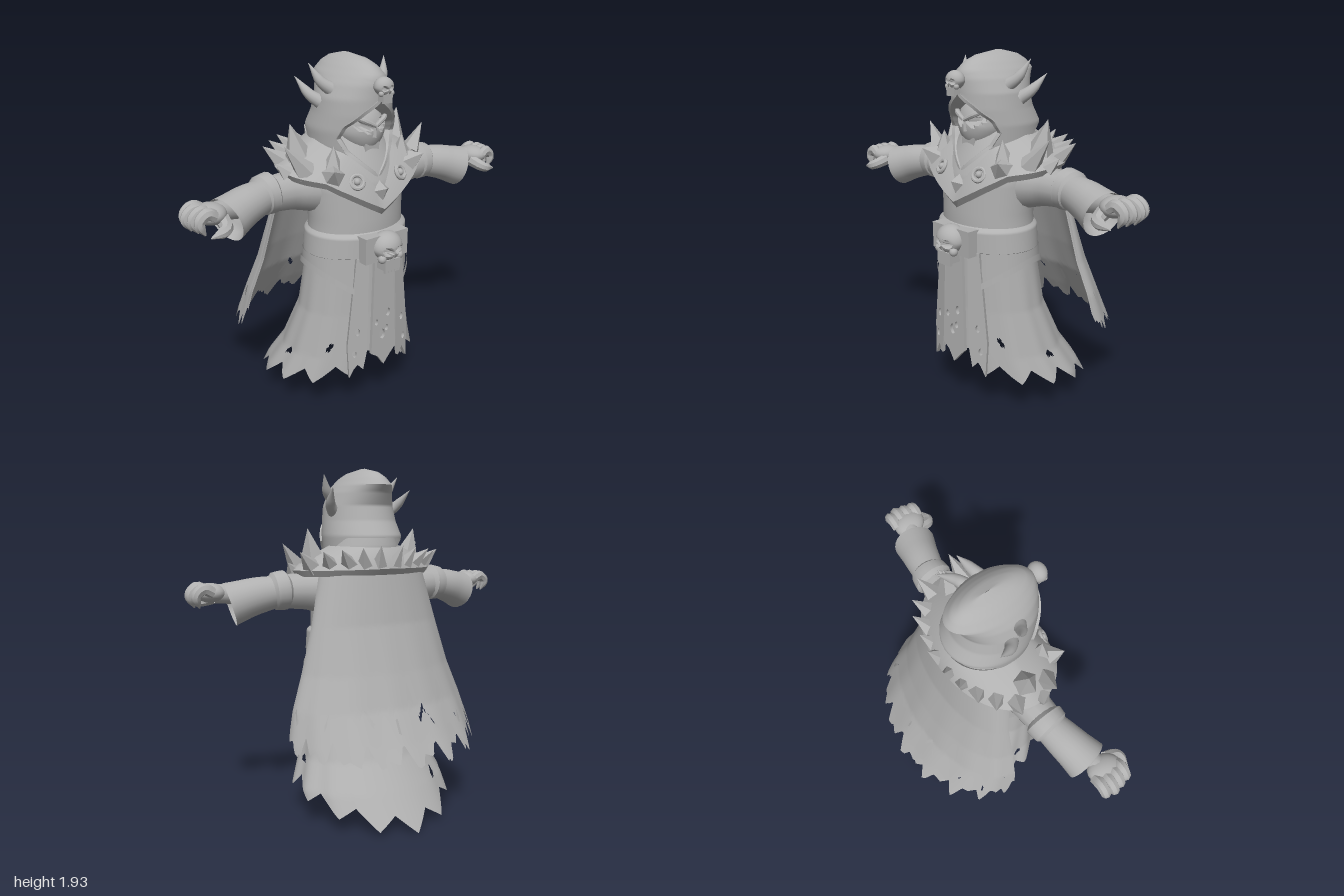
import * as THREE from 'three';
import { toCreasedNormals } from 'three/addons/utils/BufferGeometryUtils.js';

const V = (x, y, z) => new THREE.Vector3(x, y, z);
const { lerp, smoothstep } = THREE.MathUtils;
const stone = new THREE.MeshStandardMaterial({ color: 0xb0b0b0, side: THREE.DoubleSide });
stone.name = 'stone grey';

// Mesh with smooth normals that stay sharp on hard edges
function add(parent, name, geo, pos) {
  geo.scale(20, 20, 20);
  const g = toCreasedNormals(geo, 0.65);
  g.scale(0.05, 0.05, 0.05);
  const m = new THREE.Mesh(g, stone);
  m.name = name;
  if (pos) m.position.copy(pos);
  parent.add(m);
  return m;
}

// Surface from a function of (u, v); cells where hole(u, v) is true are left out
function grid(nu, nv, f, hole) {
  const pos = [], idx = [];
  for (let j = 0; j <= nv; j++) for (let i = 0; i <= nu; i++) pos.push(...f(i / nu, j / nv).toArray());
  for (let j = 0; j < nv; j++) for (let i = 0; i < nu; i++) {
    if (hole && hole((i + 0.5) / nu, (j + 0.5) / nv)) continue;
    const a = j * (nu + 1) + i, b = a + nu + 1;
    idx.push(a, a + 1, b, b, a + 1, b + 1);
  }
  const g = new THREE.BufferGeometry();
  g.setAttribute('position', new THREE.Float32BufferAttribute(pos, 3));
  g.setIndex(idx);
  return g;
}

// Interpolated row of a table sorted by its first column
function pick(table, k) {
  let i = 0;
  while (i < table.length - 2 && k > table[i + 1][0]) i++;
  const A = table[i], B = table[i + 1];
  const t = Math.min(1, Math.max(0, (k - A[0]) / (B[0] - A[0])));
  return A.slice(1).map((n, c) => lerp(n, B[c + 1], t));
}

// Point on an oval section [halfWidth, zFront, zBack]; angle 0 is the front
const oval = ([rx, zf, zb], a, y) =>
  V(rx * Math.sin(a), y, (zf + zb) / 2 + (zf - zb) / 2 * Math.cos(a));
const loft = (table, n = 48) => grid(n, 24, (u, v) => {
  const y = lerp(table[0][0], table[table.length - 1][0], v);
  return oval(pick(table, y), u * Math.PI * 2, y);
});
const zig = (t) => Math.abs(((t % 1) + 1) % 1 * 2 - 1);
const inHoles = (list) => (u, v) => list.some(([a, b, r, s]) => ((u - a) / r) ** 2 + ((v - b) / s) ** 2 < 1);

// Tapered tube through points
function limb(pts, radii, seg = 14, sides = 14) {
  const c = new THREE.CatmullRomCurve3(pts.map((p) => V(...p)));
  const fr = c.computeFrenetFrames(seg);
  const tab = radii.map((r, i) => [i / (radii.length - 1), r]);
  return grid(sides, seg, (u, v) => {
    const k = Math.round(v * seg), r = pick(tab, v)[0], a = u * Math.PI * 2;
    return c.getPointAt(v).addScaledVector(fr.normals[k], r * Math.cos(a)).addScaledVector(fr.binormals[k], r * Math.sin(a));
  });
}

// Pyramid spike from base to tip
function spike(parent, name, base, tip, r, sides = 4) {
  const d = tip.clone().sub(base), h = d.length();
  const g = new THREE.ConeGeometry(r, h, sides).translate(0, h / 2, 0).toNonIndexed();
  add(parent, name, g, base).quaternion.setFromUnitVectors(V(0, 1, 0), d.normalize());
}

// Ball with sunken eye sockets, scaled to (sx, sy, sz)
function headGeo(sx, sy, sz, ex, ey, er, slant) {
  const g = new THREE.SphereGeometry(1, 40, 30), p = g.attributes.position;
  for (let i = 0; i < p.count; i++) {
    const x = p.getX(i), y = p.getY(i), z = p.getZ(i);
    const dx = Math.abs(x) - ex, dy = y - ey - slant * dx;
    const eye = 1 - smoothstep(Math.hypot(dx, dy * (1 + 2 * slant)), er * 0.6, er);
    const jaw = y < -0.1 ? 1 + 0.25 * (y + 0.1) : 1;
    p.setXYZ(i, x * jaw * sx, y * sy, (z - (z > 0 ? 0.45 * eye : 0)) * sz);
  }
  return g;
}

function skull(parent, name, pos, s) {
  const g = new THREE.Group();
  g.name = name;
  g.position.copy(pos);
  g.scale.setScalar(s);
  parent.add(g);
  add(g, 'cranium', headGeo(1, 0.9, 0.85, 0.4, -0.12, 0.33, 0.1), V(0, 0.3, 0));
  add(g, 'upperJaw', new THREE.BoxGeometry(1.1, 0.65, 0.75), V(0, -0.65, 0.28));
  for (let i = -2; i <= 2; i++) add(g, 'tooth', new THREE.BoxGeometry(0.19, 0.3, 0.2), V(i * 0.22, -0.97, 0.55));
  for (const s2 of [-1, 1]) add(g, 'cheekbone', new THREE.SphereGeometry(0.26, 12, 8), V(s2 * 0.62, -0.25, 0.42));
  spike(g, 'nose', V(0, -0.3, 0.62), V(0, 0.05, 0.8), 0.13);
}

function buildHead(root) {
  const rows = [[1.34, 0.16, 0.36, -0.12], [1.48, 0.21, 0.345, -0.12], [1.57, 0.215, 0.36, -0.125], [1.65, 0.2, 0.37, -0.08],
    [1.73, 0.188, 0.37, -0.06], [1.8, 0.158, 0.37, -0.09], [1.84, 0.13, 0.36, -0.12], [1.88, 0.093, 0.32, -0.085],
    [1.91, 0.057, 0.25, -0.03], [1.932, 0.002, 0.12, 0.08]];
  const open = [[1.34, 0.005], [1.4, 0.075], [1.47, 0.145], [1.54, 0.178], [1.6, 0.16], [1.67, 0.09], [1.735, 0], [2, 0]];
  const edge = (y) => Math.asin(Math.min(1, pick(open, y)[0] / pick(rows, y)[0]));
  // Hood wraps from one side of the face opening round the back to the other
  add(root, 'hood', grid(72, 48, (u, v) => {
    const s = 1 - Math.abs(2 * u - 1), y = lerp(lerp(1.34, 1.56, smoothstep(s, 0, 0.6)), 1.932, v), a0 = edge(y);
    const p = oval(pick(rows, y), a0 + (Math.PI - a0) * s, y);
    return u > 0.5 ? p.setX(-p.x) : p;
  }));
  for (const s of [-1, 1]) {
    // Broad bevelled band around the face: raised lip, then a slope inwards
    const band = [[1, 0], [1.04, 0.014], [0.9, 0.014], [0.72, -0.03], [0.66, -0.1]];
    add(root, 'hoodRim', grid(30, 4, (u, v) => {
      const y = lerp(1.335, 1.74, u), p = oval(pick(rows, y), s * edge(y), y), [k, dz] = band[Math.round(v * 4)];
      return V(p.x * k, 1.54 + (y - 1.54) * lerp(1, k, 0.7), p.z + dz);
    }));
    add(root, 'upperHorn', limb([[s * 0.145, 1.765, 0.18], [s * 0.195, 1.805, 0.155], [s * 0.24, 1.895, 0.11]], [0.036, 0.024, 0.001]));
    add(root, 'lowerHorn', limb([[s * 0.175, 1.7, 0.12], [s * 0.215, 1.735, 0.085], [s * 0.25, 1.82, 0.0]], [0.036, 0.024, 0.001]));
    add(root, 'brow', limb([[s * 0.11, 1.65, 0.29], [s * 0.06, 1.625, 0.33], [0, 1.595, 0.345]], [0.01, 0.014, 0.01], 8, 8));
  }
  add(root, 'face', headGeo(0.135, 0.15, 0.13, 0.45, 0.2, 0.34, 0.4), V(0, 1.57, 0.21));
  spike(root, 'nose', V(0, 1.54, 0.33), V(0, 1.61, 0.345), 0.02);
  add(root, 'chin', new THREE.BoxGeometry(0.09, 0.06, 0.08), V(0, 1.475, 0.28));
  skull(root, 'foreheadSkull', V(0, 1.78, 0.395), 0.053);
}

function buildMantle(root) {
  const yIn = [[0, 1.33], [0.8, 1.45], [1.57, 1.5], [3.15, 1.49]];
  const yOut = [[0, 1.17], [0.45, 1.27], [0.8, 1.34], [1.57, 1.375], [3.15, 1.385]];
  const at = (a, t, lift = 0) => {
    const b = Math.abs(a);
    const p = oval([0.2, 0.33, -0.1], a, pick(yIn, b)[0]).lerp(oval([0.42, 0.42, -0.16], a, pick(yOut, b)[0]), t);
    return p.add(V(Math.sin(a) * 0.5, 0.85, Math.cos(a) * 0.6).multiplyScalar(lift));
  };
  // Closed plate: top face, rim, underside
  const prof = [[0, 0.02], [0.5, 0.03], [1, 0.015], [1, -0.025], [0, -0.02], [0, 0.02]];
  add(root, 'mantle', grid(64, 5, (u, v) => at((u * 2 - 1) * Math.PI, ...prof[Math.round(v * 5)])));
  const spikes = [[1.6, 0.5, 0.35, 1.61, 0.1, 0.075], [1.2, 0.75, 0.45, 1.53, 0.2, 0.06], [0.85, 0.45, 0.22, 1.515, 0.29, 0.055],
    [1.9, 0.8, 0.45, 1.49, 0, 0.055], [0.78, 0.7, 0.29, 1.42, 0.39, 0.07], [2.2, 0.7, 0.36, 1.49, -0.09, 0.05],
    [2.5, 0.65, 0.28, 1.5, -0.14, 0.05], [2.75, 0.65, 0.17, 1.51, -0.17, 0.045], [3.0, 0.65, 0.07, 1.52, -0.19, 0.045],
    [1.45, 0.95, 0.455, 1.43, 0.13, 0.045]];
  for (const s of [-1, 1]) {
    for (const [a, t, x, y, z, r] of spikes) spike(root, 'mantleSpike', at(s * a, t), V(s * x, y, z), r, 5);
    const c = at(s * 0.42, 0.6, 0.03), q = V(s * 0.3, 0.5, 0.85).normalize();
    for (const [n, g] of [['studRing', new THREE.TorusGeometry(0.034, 0.011, 8, 20)], ['stud', new THREE.SphereGeometry(0.018, 12, 8)]])
      add(root, n, g, c).quaternion.setFromUnitVectors(V(0, 0, 1), q);
  }
  spike(root, 'centreGem', at(0, 0.45, 0.015), at(0, 0.45).add(V(0, 0.035, 0.07)), 0.07);
}

function buildBody(root) {
  add(root, 'torso', loft([[0.9, 0.28, 0.4, -0.03], [1.1, 0.27, 0.4, -0.03], [1.3, 0.28, 0.39, -0.05],
    [1.38, 0.27, 0.36, -0.08], [1.5, 0.2, 0.31, -0.1], [1.58, 0.17, 0.27, -0.08]]));
  add(root, 'belt', loft([[0.92, 0.285, 0.4, -0.03], [0.93, 0.302, 0.425, -0.05], [1.04, 0.292, 0.425, -0.05], [1.06, 0.27, 0.4, -0.03]]));
  add(root, 'buckle', new THREE.BoxGeometry(0.28, 0.14, 0.07), V(0, 0.985, 0.42));
  skull(root, 'beltSkull', V(0, 0.96, 0.445), 0.09);

  // Robe skirt with a long torn train
  const rows = [[0, 0.47, 0.4, -0.45], [0.2, 0.455, 0.42, -0.31], [0.35, 0.39, 0.42, -0.2], [0.6, 0.325, 0.405, -0.08], [0.95, 0.28, 0.395, -0.03]];
  const hem = [[0, 0.35], [0.4, 0.25], [0.8, 0.21], [1.57, 0.18], [2.2, 0.1], [2.7, 0.035], [3.15, 0.005]];
  add(root, 'skirt', grid(196, 60, (u, v) => {
    const a = (u * 2 - 1) * Math.PI, h = pick(hem, Math.abs(a))[0] + 0.08 * (1 - zig(u * 14));
    const y = lerp(0.95, h, v), [rx, zf, zb] = pick(rows, y), k = 1 + 0.015 * v * Math.cos(a * 14);
    return oval([rx * k, zf, zb], a, y);
  }, inHoles([[0.25, 0.87, 0.009, 0.026], [0.75, 0.87, 0.009, 0.026], [0.1, 0.87, 0.009, 0.026], [0.37, 0.75, 0.007, 0.026], [0.62, 0.75, 0.007, 0.026]])));

  // Hip drapes, cut in an arch at the side
  for (const s of [-1, 1]) for (const trim of [0, 1])
    add(root, trim ? 'hipTrim' : 'hipDrape', grid(40, 3, (u, v) => {
      const y0 = 0.735 + 0.125 * Math.sin(Math.PI * u), y = trim ? y0 + 0.035 * v : lerp(y0, 0.93, v);
      const o = (trim ? 0.027 : 0.018) * (1 + 2.5 * (0.93 - y));
      return oval([0.285 + o, 0.4 + o, -0.035 - o], s * (0.55 + u * 2.3), y);
    }));

  // Torn hanging strips at the front
  const strip = (pts, holes) => {
    const sh = new THREE.Shape(pts.map((p) => new THREE.Vector2(...p)));
    for (const [x, y, r] of holes) sh.holes.push(new THREE.Path().absellipse(x, y, r, r * 1.5, 0, Math.PI * 2));
    return new THREE.ExtrudeGeometry(sh, { depth: 0.018, bevelEnabled: false, curveSegments: 6 });
  };
  add(root, 'centreStrip', strip([[-0.06, 0], [0.06, 0], [0.085, -0.56], [0.045, -0.6], [0, -0.65], [-0.04, -0.59], [-0.085, -0.56]],
    [[0.03, -0.34, 0.016], [-0.01, -0.46, 0.02], [0.02, -0.43, 0.013], [-0.05, -0.38, 0.012]]), V(0, 0.93, 0.415)).rotation.x = -0.03;
  for (const s of [-1, 1]) {
    const m = add(root, 'sideStrip', strip([[-0.035, 0], [0.035, 0], [0.075, -0.5], [0.06, -0.69], [0.02, -0.61], [-0.02, -0.65], [-0.04, -0.53]]
      .map(([x, y]) => [s * x, y]), [[s * 0.02, -0.42, 0.015], [s * 0.035, -0.55, 0.014]]), V(s * 0.115, 0.93, 0.39));
    m.rotation.set(-0.04, s * 0.3, s * 0.04);
  }
}

function buildCape(root) {
  const rows = [[0.36, 0.595, -0.09, -0.52], [0.5, 0.575, -0.07, -0.435], [0.67, 0.535, -0.05, -0.34], [0.85, 0.47, -0.03, -0.275],
    [1.1, 0.4, -0.02, -0.195], [1.42, 0.32, 0.02, -0.135]];
  const holes = inHoles([[0.2, 0.84, 0.012, 0.022], [0.36, 0.8, 0.015, 0.02], [0.55, 0.82, 0.018, 0.026], [0.58, 0.85, 0.014, 0.02],
    [0.72, 0.84, 0.012, 0.022], [0.05, 0.84, 0.012, 0.022], [0.93, 0.84, 0.012, 0.024], [0.45, 0.9, 0.006, 0.05], [0.83, 0.9, 0.008, 0.04]]);
  for (const inset of [0, 0.018]) add(root, inset ? 'capeLining' : 'cape', grid(160, 72, (u, v) => {
    const th = u * Math.PI, rag = zig(u * 9) * 0.09 + zig(u * 17 + 0.3) * 0.07;
    const y = lerp(1.42, 0.45 - 0.09 * Math.sin(th) + rag, v), [w, zf, zb] = pick(rows, y);
    const fold = 0.008 * v * Math.sin(u * 45), k = 1 - inset / w + fold;
    return V(w * k * Math.cos(th), y, zf + (zb - zf + inset) * (1 + fold) * Math.sin(th));
  }, holes));
}

// Arm built on the model's left, mirrored for the right
function buildArm(root, side) {
  const arm = new THREE.Group();
  arm.name = side > 0 ? 'leftArm' : 'rightArm';
  arm.scale.x = side;
  root.add(arm);
  add(arm, 'sleeve', limb([[0.18, 1.26, 0.13], [0.36, 1.275, 0.12], [0.56, 1.28, 0.13]], [0.135, 0.1, 0.085]));
  add(arm, 'armBand', limb([[0.46, 1.288, 0.12], [0.51, 1.285, 0.122], [0.57, 1.28, 0.13]], [0.075, 0.106, 0.104, 0.1, 0.07], 8, 20));
  add(arm, 'cuff', limb([[0.53, 1.28, 0.125], [0.65, 1.258, 0.15], [0.77, 1.222, 0.18]], [0.085, 0.095, 0.103, 0.115], 12, 24));
  add(arm, 'cuffLining', limb([[0.77, 1.222, 0.18], [0.72, 1.238, 0.167], [0.66, 1.25, 0.15]], [0.115, 0.09, 0.001], 8, 24));
  add(arm, 'wrist', limb([[0.66, 1.26, 0.16], [0.76, 1.275, 0.18], [0.84, 1.28, 0.2]], [0.055, 0.052, 0.05]));
  const palm = new THREE.SphereGeometry(1, 20, 14).scale(0.075, 0.05, 0.09);
  add(arm, 'palm', palm, V(0.86, 1.285, 0.21)).rotation.y = 0.2;
  for (let i = 0; i < 4; i++) {
    const z = 0.14 + i * 0.045, o = -0.012 * Math.abs(i - 1);
    add(arm, 'finger', limb([[0.87, 1.29, z], [0.93 + o, 1.31, z], [0.971 + o, 1.275, z], [0.95 + o, 1.215, z + 0.01]],
      [0.029, 0.031, 0.028, 0.024, 0.004], 14, 8));
  }
  add(arm, 'thumb', limb([[0.82, 1.26, 0.25], [0.84, 1.235, 0.32], [0.92, 1.215, 0.33]], [0.036, 0.032, 0.026, 0.004], 12, 8));
}

export function createModel() {
  const root = new THREE.Group();
  root.name = 'hoodedFigure';
  buildHead(root);
  buildMantle(root);
  buildBody(root);
  buildCape(root);
  buildArm(root, 1);
  buildArm(root, -1);
  return root;
}
